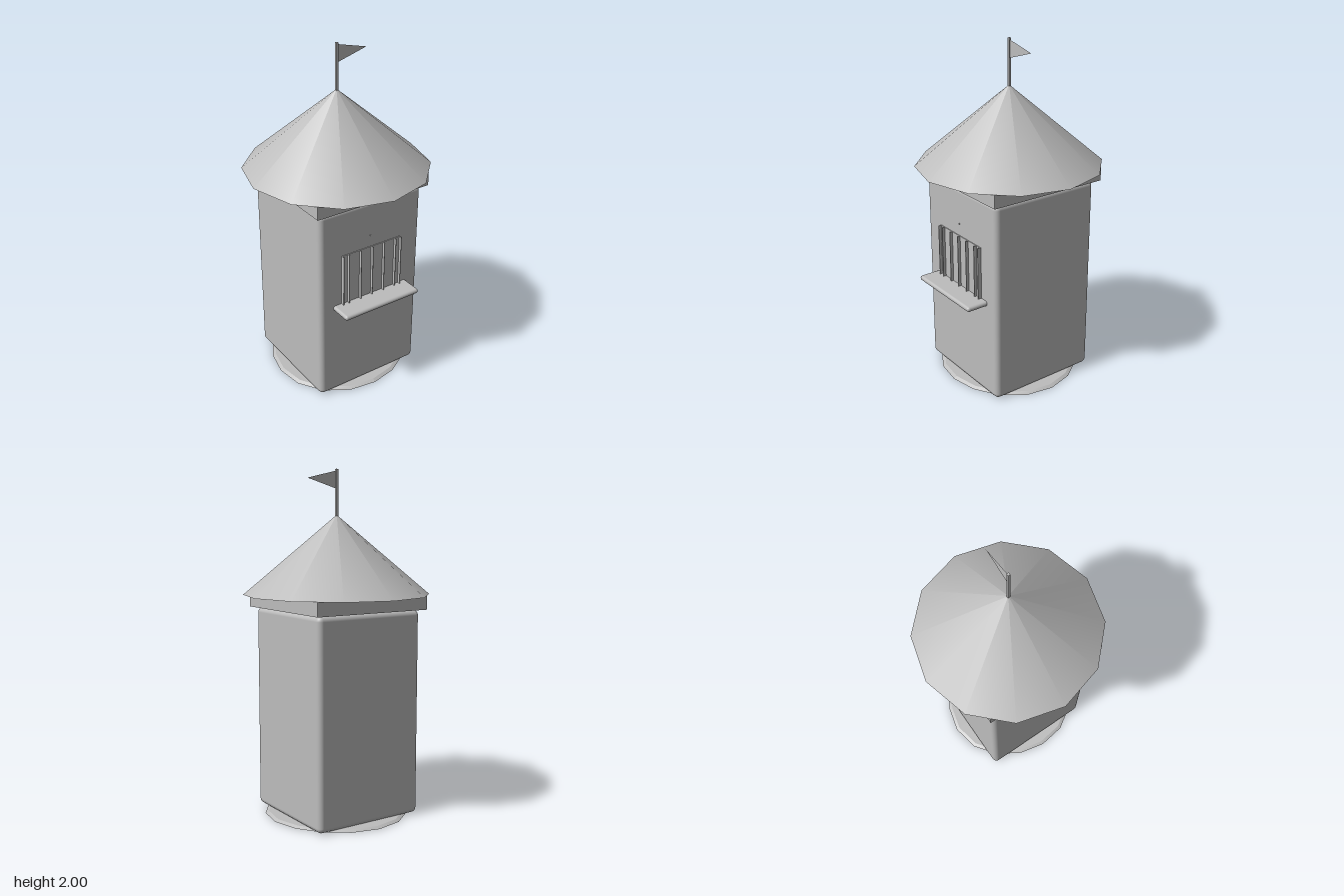
import * as THREE from 'three';
import { RoundedBoxGeometry } from 'three/addons/geometries/RoundedBoxGeometry.js';

export function createModel() {
  const model = new THREE.Group();
  model.name = 'tower';
  const grey = new THREE.MeshStandardMaterial({ color: 0xbcbcbc, side: THREE.DoubleSide });
  grey.name = 'plain grey';

  const add = (name, geometry, x = 0, y = 0, z = 0, parent = model) => {
    const mesh = new THREE.Mesh(geometry, grey);
    mesh.name = name;
    mesh.position.set(x, y, z);
    parent.add(mesh);
    return mesh;
  };

  // Shallow, slightly uneven mound under the walls
  const mound = new THREE.CylinderGeometry(0.4, 0.42, 0.012, 16);
  const p = mound.attributes.position;
  for (let i = 0; i < p.count; i++) {
    const a = Math.atan2(p.getZ(i), p.getX(i));
    const s = 1 + 0.02 * Math.sin(3 * a + 0.6);
    p.setX(i, p.getX(i) * s);
    p.setZ(i, p.getZ(i) * s);
  }
  mound.computeVertexNormals();
  add('groundMound', mound, 0, 0.006, 0);

  // Square tower with softened edges, and the band under the eaves
  add('walls', new RoundedBoxGeometry(0.685, 1.197, 0.685, 3, 0.03), 0, 0.6065, 0);
  add('eavesBand', new THREE.BoxGeometry(0.74, 0.08, 0.74), 0, 1.247, 0);

  // Twelve-sided roof
  add('roof', new THREE.ConeGeometry(0.54, 0.455, 12), 0, 1.5145, 0);

  // Pole and pennant
  add('flagPole', new THREE.BoxGeometry(0.014, 0.28, 0.014), 0, 1.86, 0);
  const pennant = new THREE.Shape([
    new THREE.Vector2(0.005, 1.99),
    new THREE.Vector2(0.005, 1.89),
    new THREE.Vector2(0.195, 1.945),
  ]);
  add('pennant', new THREE.ShapeGeometry(pennant));

  // Barred window on the front wall
  const barredWindow = new THREE.Group();
  barredWindow.name = 'window';
  model.add(barredWindow);
  add('windowPanel', new THREE.BoxGeometry(0.4, 0.32, 0.008), 0, 0.76, 0.343, barredWindow);
  for (const x of [-0.198, -0.16, -0.08, 0, 0.08, 0.16, 0.198]) {
    add('windowBar', new THREE.BoxGeometry(0.004, 0.32, 0.022), x, 0.76, 0.354, barredWindow);
  }
  add('windowSill', new RoundedBoxGeometry(0.51, 0.03, 0.14, 3, 0.0149), 0, 0.594, 0.402, barredWindow);
  add('windowPin', new THREE.BoxGeometry(0.005, 0.005, 0.006), -0.008, 0.992, 0.344, barredWindow);

  return model;
}
